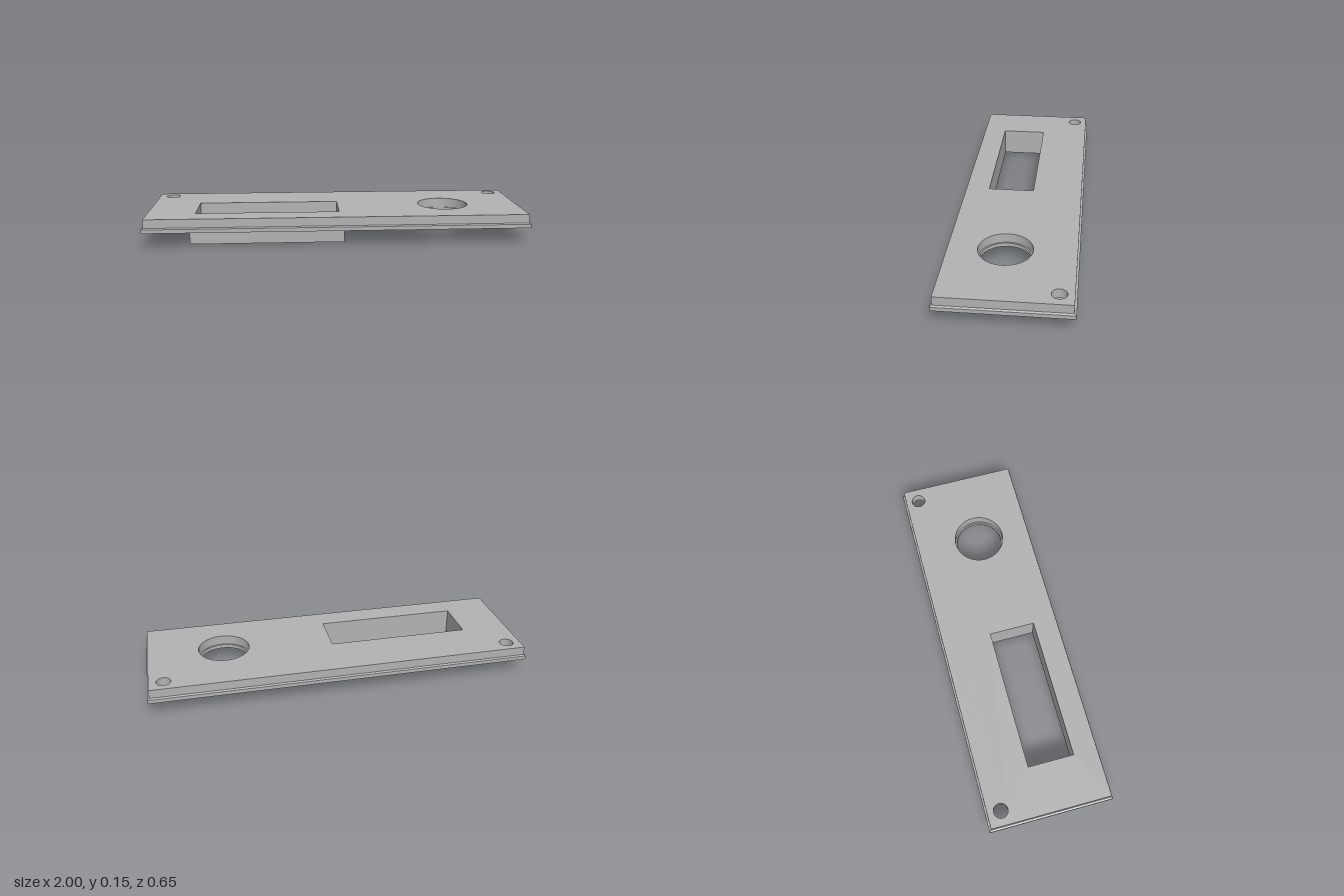
import * as THREE from 'three';

const rect = (x0, x1, z0, z1) =>
  [[x0, z0], [x1, z0], [x1, z1], [x0, z1]].map(([x, z]) => new THREE.Vector2(x, z));

const circle = (x, z, r) => new THREE.Path().absarc(x, z, r, 0, Math.PI * 2, true);

// Horizontal slab from y0 to y1; the outline and holes are drawn in x and z
function slab(outline, holes, y0, y1) {
  const shape = new THREE.Shape(outline);
  shape.holes.push(...holes);
  const geo = new THREE.ExtrudeGeometry(shape, { depth: y1 - y0, bevelEnabled: false, curveSegments: 32 });
  return geo.rotateX(Math.PI / 2).translate(0, y1, 0);
}

// Open sloping band between two rectangles
function slopedBand(bottom, top, y0, y1) {
  const pos = [];
  for (let i = 0; i < 4; i++) {
    const j = (i + 1) % 4;
    const a = [bottom[i].x, y0, bottom[i].y], b = [bottom[j].x, y0, bottom[j].y];
    const c = [top[j].x, y1, top[j].y], d = [top[i].x, y1, top[i].y];
    pos.push(...a, ...d, ...c, ...a, ...c, ...b);
  }
  const geo = new THREE.BufferGeometry();
  geo.setAttribute('position', new THREE.Float32BufferAttribute(pos, 3));
  geo.computeVertexNormals();
  return geo;
}

export function createModel() {
  const group = new THREE.Group();
  const grey = new THREE.MeshStandardMaterial({ color: 0xb2b2b2, side: THREE.DoubleSide });
  grey.name = 'plain grey';
  const add = (name, geo) => {
    const mesh = new THREE.Mesh(geo, grey);
    mesh.name = name;
    group.add(mesh);
  };

  const lipOutline = rect(-1, 1, -0.325, 0.325);
  const plateOutline = rect(-0.99, 0.99, -0.315, 0.315);
  const windowHole = () => new THREE.Path(rect(-0.74, 0.01, -0.053, 0.19));

  // Upper plate with window, round opening and two screw holes
  add('topPlate', slab(plateOutline, [
    windowHole(),
    circle(0.588, 0.033, 0.135),
    ...[-1, 1].map((s) => circle(s * 0.915, -0.245, 0.037)),
  ], 0.1, 0.15));

  // Lower lip: smaller round opening, screw pockets joined by a long groove
  const groove = new THREE.Path([
    [-0.965, -0.195], [-0.965, -0.295], [-0.865, -0.295], [-0.865, -0.225],
    [0.865, -0.225], [0.865, -0.295], [0.965, -0.295], [0.965, -0.195],
  ].map(([x, z]) => new THREE.Vector2(x, z)));
  add('lowerLip', slab(lipOutline, [windowHole(), circle(0.588, 0.033, 0.127), groove], 0.08, 0.1));
  add('lipChamfer', slopedBand(lipOutline, plateOutline, 0.1, 0.105));

  // Frame hanging beneath the window
  add('windowFrame', slab(rect(-0.767, 0.033, -0.102, 0.247), [windowHole()], 0, 0.08));

  return group;
}
